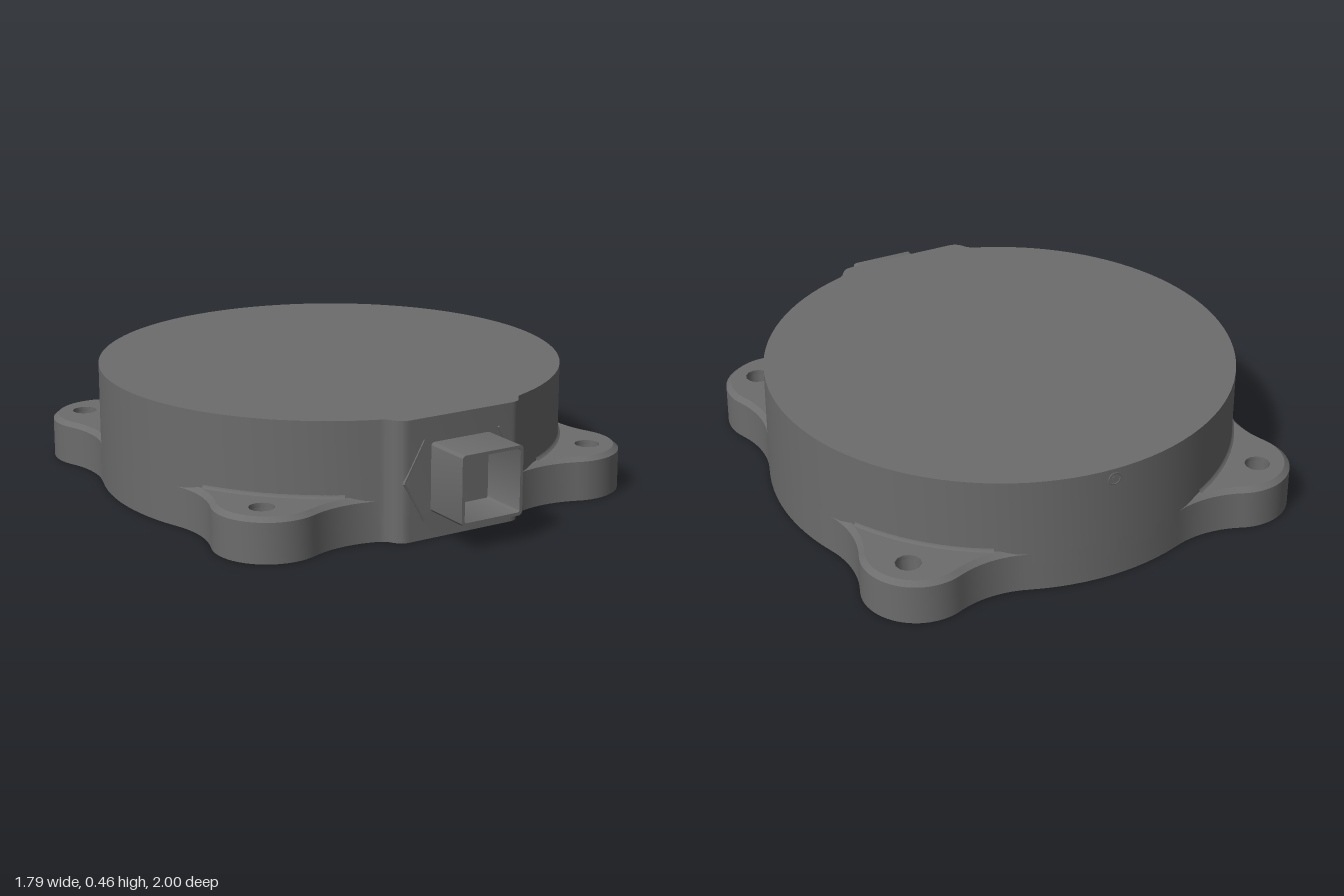
import * as THREE from 'three';
import { toCreasedNormals } from 'three/addons/utils/BufferGeometryUtils.js';

const MAT = new THREE.MeshStandardMaterial({ color: 0x6c6c6c });
const DOUBLE = new THREE.MeshStandardMaterial({ color: 0x6c6c6c, side: THREE.DoubleSide });
const DEG = Math.PI / 180;
const R = 0.897, CZ = -0.103;            // round housing radius and centre
const EAR_D = 0.933, EAR_R = 0.205;      // mounting ear distance and radius
// Concave blend beside each ear, touching the housing 25 degrees from the ear's axis
const COS25 = Math.cos(25 * DEG), SIN25 = Math.sin(25 * DEG);
const FIL_R = (R * R + EAR_D * EAR_D - 2 * EAR_D * R * COS25 - EAR_R * EAR_R)
  / (2 * (EAR_R - R + EAR_D * COS25));
const TOP = 0.456, WALL = 0.153, PLATE = 0.17, SPLIT = 0.1, TAB_Z = 0.805;

// Points of an arc in plan (x, z), angles in degrees
function arc(cx, cz, r, a0, a1, n) {
  return Array.from({ length: n + 1 }, (_, i) => {
    const a = (a0 + (a1 - a0) * i / n) * DEG;
    return new THREE.Vector2(cx + r * Math.cos(a), cz + r * Math.sin(a));
  });
}

// Flat front tab with S-shaped shoulders, from +x to -x
function tabPoints() {
  const half = new THREE.CubicBezierCurve(
    new THREE.Vector2(0.307, 0.74), new THREE.Vector2(0.265, 0.755),
    new THREE.Vector2(0.275, TAB_Z), new THREE.Vector2(0.22, TAB_Z)).getPoints(12);
  return [...half, ...half.map(p => new THREE.Vector2(-p.x, p.y)).reverse()];
}

function bodyOutline() {
  return [...arc(0, CZ, R, 110, 430, 96).slice(1, -1), ...tabPoints()];
}

// Flange outline with four ears, inset by d
function flangeOutline(d) {
  const fx = (R + FIL_R) * COS25, fz = (R + FIL_R) * SIN25;
  const toEar = Math.atan2(fz, EAR_D - fx) / DEG;
  const ear = [
    ...arc(fx, -fz, FIL_R + d, 155, toEar, 12).slice(0, -1),
    ...arc(EAR_D, 0, EAR_R - d, toEar - 180, 180 - toEar, 24),
    ...arc(fx, fz, FIL_R + d, -toEar, -155, 12).slice(1),
  ];
  const out = [];
  for (let k = 0; k < 4; k++) {
    const c = 45 + 90 * k;
    for (const p of ear) {
      const q = p.clone().rotateAround(new THREE.Vector2(), c * DEG);
      out.push(new THREE.Vector2(q.x, q.y + CZ));
    }
    if (k === 0) out.push(...tabPoints().slice(1, -1));
    else out.push(...arc(0, CZ, R - d, c + 25, c + 65, 12).slice(1, -1));
  }
  return out;
}

// Upright slab from a plan outline, with optional round holes [x, z, r]
function slab(points, y0, y1, holes = []) {
  const flip = pts => pts.map(p => new THREE.Vector2(p.x, -p.y)).reverse();
  const shape = new THREE.Shape(flip(points));
  for (const [x, z, r] of holes) {
    shape.holes.push(new THREE.Path(flip(arc(x, z, r, 0, 360, 12).slice(0, -1))));
  }
  const g = new THREE.ExtrudeGeometry(shape, { depth: y1 - y0, bevelEnabled: false });
  g.rotateX(-Math.PI / 2).translate(0, y0, 0);
  return toCreasedNormals(g, 0.6);
}

// Sloping band joining two matching outlines
function band(a, b, y0, y1) {
  const pos = [], n = a.length;
  const put = (p, y) => pos.push(p.x, y, p.y);
  for (let i = 0; i < n; i++) {
    const j = (i + 1) % n;
    put(a[i], y0); put(b[i], y1); put(b[j], y1);
    put(a[i], y0); put(b[j], y1); put(a[j], y0);
  }
  const g = new THREE.BufferGeometry();
  g.setAttribute('position', new THREE.Float32BufferAttribute(pos, 3));
  return toCreasedNormals(g, 0.6);
}

function roundedRect(path, w, h, r) {
  const x = w / 2, y = h / 2;
  path.absarc(x - r, y - r, r, 0, Math.PI / 2);
  path.absarc(-x + r, y - r, r, Math.PI / 2, Math.PI);
  path.absarc(-x + r, -y + r, r, Math.PI, Math.PI * 1.5);
  path.absarc(x - r, -y + r, r, Math.PI * 1.5, Math.PI * 2);
  path.closePath();
  return path;
}

export function createModel() {
  const model = new THREE.Group();
  const add = (name, geometry, material = MAT, parent = model) => {
    const m = new THREE.Mesh(geometry, material);
    m.name = name;
    parent.add(m);
    return m;
  };

  // Round housing with flat front tab
  add('housing', slab(bodyOutline(), SPLIT, TOP));

  // Mounting flange: ear holes go through, two side holes end at the housing
  const earHoles = [], sideHoles = [];
  for (const s of [-1, 1]) {
    earHoles.push([s * 0.72, CZ - 0.72, 0.048], [s * 0.72, CZ + 0.72, 0.048]);
    sideHoles.push([s * 0.72, 0.01, 0.048]);
  }
  const flange = new THREE.Group();
  flange.name = 'mountingFlange';
  model.add(flange);
  const outer = flangeOutline(0), inner = flangeOutline(0.02);
  add('flangeBase', slab(outer, 0, WALL, [...earHoles, ...sideHoles]), MAT, flange);
  add('flangeTop', slab(inner, WALL, PLATE, earHoles), MAT, flange);
  // The chamfer covers the ledge left around the inset top
  add('flangeChamfer', band(outer, inner, WALL, PLATE), MAT, flange);

  // Small fillets where the ears meet the housing
  const profile = [[0.01, PLATE - 0.003], [0.009, PLATE + 0.001], [0.003, PLATE + 0.004], [0, PLATE + 0.012]]
    .map(([d, y]) => new THREE.Vector2(R + d, y));
  for (let k = 0; k < 4; k++) {
    const g = new THREE.LatheGeometry(profile, 12, (28 + 90 * k) * DEG, 34 * DEG);
    add('earFillet', g, DOUBLE, flange).position.z = CZ;
  }

  // Hollow square connector
  const frame = roundedRect(new THREE.Shape(), 0.262, 0.262, 0.015);
  frame.holes.push(roundedRect(new THREE.Path(), 0.238, 0.238, 0.008));
  const sleeve = new THREE.ExtrudeGeometry(frame, { depth: 0.2, bevelEnabled: false, curveSegments: 4 });
  add('connectorSleeve', toCreasedNormals(sleeve, 0.6)).position.set(0, 0.23, 0.8);

  // Thin chevron ribs either side of the connector
  const rib = (x0, y0, x1, y1) => {
    const m = add('faceRib', new THREE.BoxGeometry(Math.hypot(x1 - x0, y1 - y0), 0.008, 0.012));
    m.position.set((x0 + x1) / 2, (y0 + y1) / 2, TAB_Z);
    m.rotation.z = Math.atan2(y1 - y0, x1 - x0);
  };
  for (const s of [-1, 1]) {
    rib(s * 0.16, 0.375, s * 0.245, 0.225);
    rib(s * 0.245, 0.225, s * 0.16, 0.075);
  }

  // Triangular pin marker
  const marker = new THREE.CylinderGeometry(0.022, 0.022, 0.012, 3).rotateX(Math.PI / 2).rotateZ(-Math.PI / 2);
  add('pinMarker', marker).position.set(0.178, 0.225, TAB_Z);

  // Small vent at the back of the rim
  add('ventRing', new THREE.TorusGeometry(0.023, 0.004, 6, 20)).position.set(0, 0.415, -0.998);
  add('ventPlug', new THREE.CylinderGeometry(0.011, 0.011, 0.006, 12).rotateX(Math.PI / 2))
    .position.set(0, 0.415, -0.998);

  return model;
}
